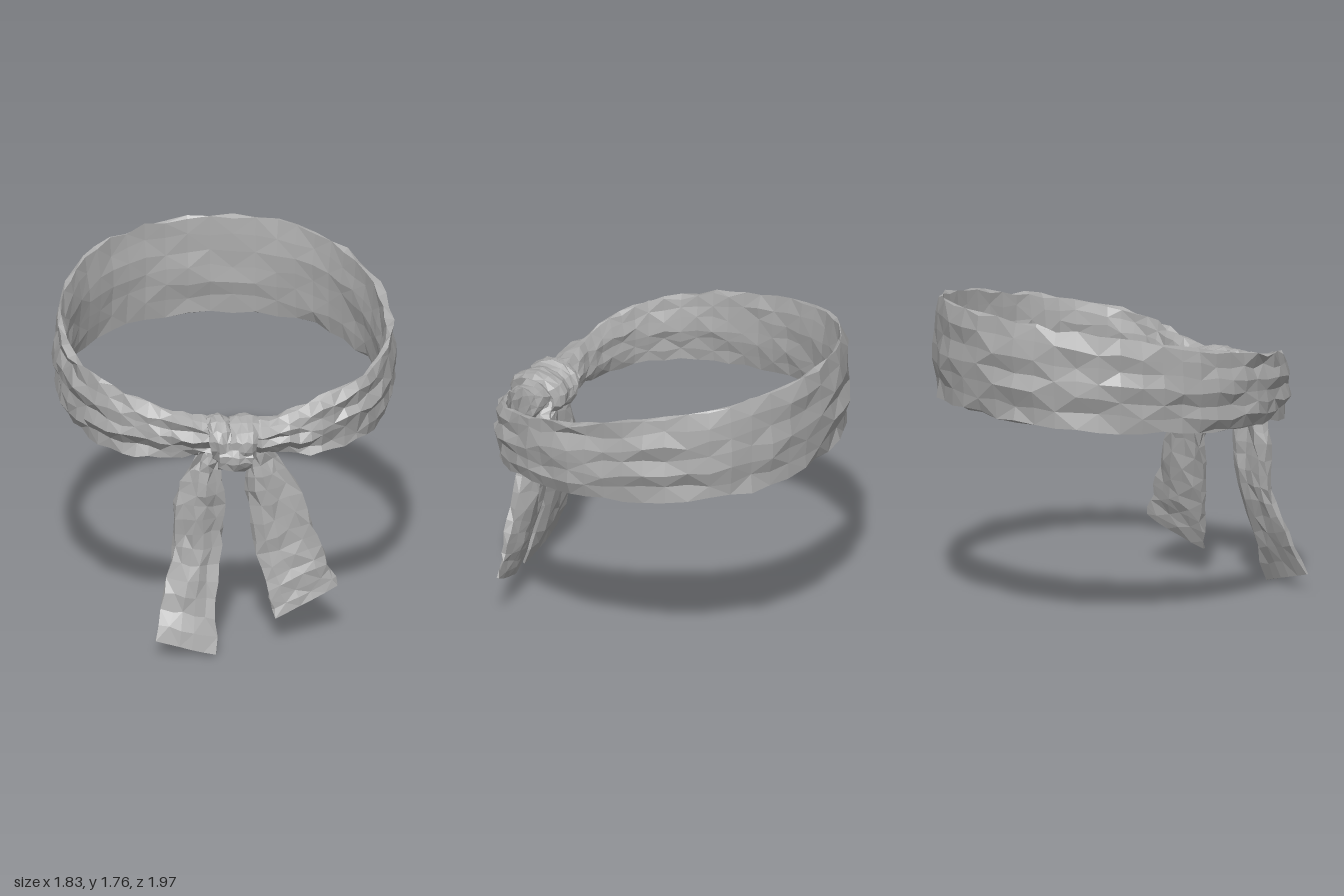
import * as THREE from 'three';

const cloth = new THREE.MeshStandardMaterial({ color: 0xaaaaaa, flatShading: true, side: THREE.DoubleSide });
cloth.name = 'grey cloth';

// Small seeded generator for the crumpled surface
let seed = 7;
function jitter(amount) {
  seed = (seed * 16807) % 2147483647;
  return (seed / 2147483647 - 0.5) * 2 * amount;
}

// Skin a list of equal-sized rings, either joined end to end or capped
function loft(name, rings, closed) {
  const m = rings[0].length, pos = [], index = [];
  rings.forEach(r => r.forEach(p => pos.push(p.x, p.y, p.z)));
  const spans = closed ? rings.length : rings.length - 1;
  for (let i = 0; i < spans; i++) {
    for (let j = 0; j < m; j++) {
      const k = (j + 1) % m, next = (i + 1) % rings.length;
      const a = i * m + j, b = i * m + k, c = next * m + k, d = next * m + j;
      if ((i + j) % 2) index.push(a, b, c, a, c, d);
      else index.push(a, b, d, b, c, d);
    }
  }
  if (!closed) {
    [0, rings.length - 1].forEach((i, end) => {
      const mid = new THREE.Vector3();
      rings[i].forEach(p => mid.addScaledVector(p, 1 / m));
      const c = pos.length / 3;
      pos.push(mid.x, mid.y, mid.z);
      for (let j = 0; j < m; j++) {
        const a = i * m + j, b = i * m + (j + 1) % m;
        if (end) index.push(c, a, b);
        else index.push(c, b, a);
      }
    });
  }
  const indexed = new THREE.BufferGeometry();
  indexed.setAttribute('position', new THREE.Float32BufferAttribute(pos, 3));
  indexed.setIndex(index);
  const geometry = indexed.toNonIndexed();
  geometry.computeVertexNormals();
  const mesh = new THREE.Mesh(geometry, cloth);
  mesh.name = name;
  return mesh;
}

// Two matched splines carry the six values of each control row
function rowSpline(rows, closed) {
  const make = o => new THREE.CatmullRomCurve3(
    rows.map(r => new THREE.Vector3(r[o], r[o + 1], r[o + 2])), closed, 'catmullrom', 0.5);
  const first = make(0), second = make(3);
  return u => [first.getPoint(u), second.getPoint(u), first.getTangent(u)];
}

// Head band: wide at the back, gathered and thick where it meets the knot
function makeBand() {
  // x, z, thickness, bottom y, top y, pleat depth
  const half = [
    [0, -0.94, 0.065, 1.21, 1.75, 0.01],
    [0.38, -0.86, 0.065, 1.2, 1.735, 0.01],
    [0.66, -0.63, 0.07, 1.18, 1.69, 0.011],
    [0.82, -0.3, 0.07, 1.15, 1.62, 0.012],
    [0.87, 0.03, 0.07, 1.12, 1.54, 0.012],
    [0.825, 0.32, 0.07, 1.1, 1.48, 0.012],
    [0.69, 0.57, 0.075, 1.075, 1.42, 0.012],
    [0.49, 0.7, 0.085, 1.055, 1.36, 0.014],
    [0.3, 0.745, 0.14, 1.06, 1.295, 0.018],
    [0.14, 0.755, 0.2, 1.08, 1.26, 0.018],
    [0, 0.76, 0.2, 1.1, 1.24, 0.01],
  ];
  const mirrored = half.slice(1, -1).reverse().map(r => [-r[0], ...r.slice(1)]);
  const at = rowSpline([...half, ...mirrored], true);
  const rings = [], steps = 64, rows = 7;
  for (let i = 0; i < steps; i++) {
    const [p, q, t] = at(i / steps);
    const out = new THREE.Vector2(t.y, -t.x).normalize();
    const ring = [];
    for (let s = 0; s < 2 * rows; s++) {
      const outer = s < rows, j = outer ? s : 2 * rows - 1 - s;
      const v = j / (rows - 1);
      const bulge = 0.35 + 0.65 * Math.sin(Math.PI * v);
      const pleat = outer ? q.z * Math.sin(j * 2.6 + i * 0.35) : 0.4 * q.z * Math.sin(j * 2 + i * 0.5);
      const w = (outer ? 0.5 : -0.5) * p.z * bulge + pleat + jitter(outer ? 0.011 : 0.007);
      const y = q.x + (q.y - q.x) * v + jitter(0.014);
      ring.push(new THREE.Vector3(p.x + out.x * w, y, p.y + out.y * w));
    }
    rings.push(ring);
  }
  return loft('headBand', rings, true);
}

// Hanging tail: x, y, z of the middle, half width, rise toward +x, thickness.
// turn swings the -x edge of the hem forward.
function makeTail(name, rows, phase, turn) {
  const at = rowSpline(rows, false);
  const rings = [], steps = 16, cols = 6;
  for (let i = 0; i <= steps; i++) {
    const u = i / steps;
    const [p, q] = at(u);
    const ring = [];
    for (let s = 0; s < 2 * cols; s++) {
      const front = s < cols, j = front ? s : 2 * cols - 1 - s;
      const k = 1 - 2 * j / (cols - 1);
      const fold = 0.028 * (1 - u) * Math.sin(k * 4 + phase + u * 3) - turn * k * u * u;
      const depth = (front ? 0.5 : -0.5) * q.z * (1 - 0.6 * k * k);
      const calm = i === steps ? 0.2 : 1;
      ring.push(new THREE.Vector3(
        p.x + k * q.x + jitter(0.012) * calm,
        p.y + k * q.y + jitter(0.01) * calm,
        p.z + fold + depth + jitter(0.01) * calm));
    }
    rings.push(ring);
  }
  return loft(name, rings, false);
}

// Knot wrap: a loop of cloth around the gathered band
function makeWrap(name, x0, x1, cy, cz, ry, rz, lean) {
  const rings = [], steps = 5, sides = 14;
  for (let i = 0; i <= steps; i++) {
    const u = i / steps, swell = 0.84 + 0.16 * Math.sin(Math.PI * u);
    const ring = [];
    for (let j = 0; j < sides; j++) {
      const a = j / sides * Math.PI * 2;
      const y = Math.cos(a) * ry * swell;
      ring.push(new THREE.Vector3(
        THREE.MathUtils.lerp(x0, x1, u) + y * lean + jitter(0.007),
        cy + y + jitter(0.008),
        cz + Math.sin(a) * rz * swell + jitter(0.008)));
    }
    rings.push(ring);
  }
  return loft(name, rings, false);
}

export function createModel() {
  const group = new THREE.Group();
  group.name = 'tiedHeadBand';
  group.add(makeBand());

  const knot = new THREE.Group();
  knot.name = 'knot';
  knot.add(
    makeWrap('knotWrapRight', -0.14, -0.02, 1.16, 0.765, 0.13, 0.155, -0.15),
    makeWrap('knotWrapLeft', -0.04, 0.11, 1.16, 0.77, 0.13, 0.165, 0.08),
    makeWrap('knotTuck', -0.1, 0.08, 1.09, 0.84, 0.085, 0.095, 0));
  group.add(knot);

  group.add(makeTail('rightTail', [
    [-0.11, 1.15, 0.79, 0.04, 0, 0.08],
    [-0.16, 1.04, 0.8, 0.075, 0, 0.09],
    [-0.19, 0.85, 0.81, 0.13, 0, 0.1],
    [-0.205, 0.6, 0.81, 0.125, 0, 0.1],
    [-0.245, 0.33, 0.87, 0.135, -0.02, 0.08],
    [-0.28, 0.052, 0.97, 0.16, -0.045, 0.035],
  ], 0, 0));
  group.add(makeTail('leftTail', [
    [0.08, 1.15, 0.71, 0.04, 0.02, 0.08],
    [0.14, 1.04, 0.68, 0.065, 0.02, 0.1],
    [0.2, 0.82, 0.69, 0.13, 0.03, 0.1],
    [0.27, 0.55, 0.71, 0.155, 0.05, 0.08],
    [0.33, 0.36, 0.735, 0.16, 0.06, 0.06],
    [0.38, 0.21, 0.76, 0.17, 0.07, 0.035],
  ], 2, 0.05));
  return group;
}
